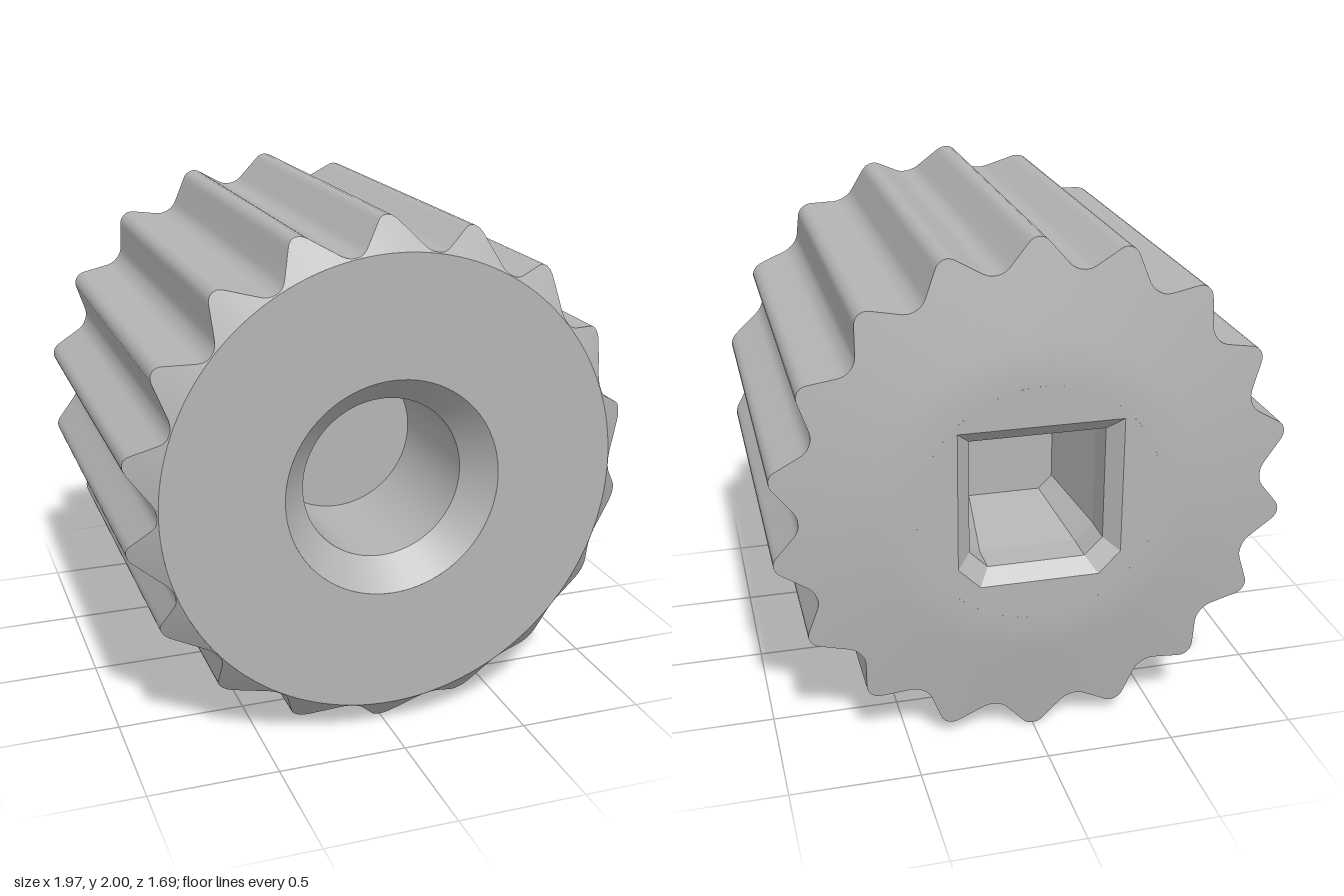
import * as THREE from 'three';

const FRONT = 0.845, BACK = -0.845, TEETH = 18, CY = 1;

// One closed loop of points, counter-clockwise seen from the front
const point = (a, r, z) => new THREE.Vector3(r * Math.cos(a), CY + r * Math.sin(a), z);

// Half tooth: degrees from the tip, radius
const half = [[0, 1], [1, 0.997], [1.8, 0.989], [2.5, 0.977], [4.8, 0.938], [7, 0.905], [8, 0.895], [9, 0.89], [10, 0.889]];
const outline = [];
for (let t = 0; t < TEETH; t++) {
  const tooth = [...half.slice(1).reverse().map(([d, r]) => [-d, r]), ...half.slice(0, -1)];
  for (const [d, r] of tooth) outline.push([THREE.MathUtils.degToRad(90 + t * 20 + d), r]);
}
const toothLoop = (radius, depth) => outline.map(([a, r]) => point(a, radius(r), depth(radius(r))));
const circle = (r, z, n = 96) => Array.from({ length: n }, (_, i) => point((i / n) * Math.PI * 2, r, z));

// Skin through loops, listed so that the solid lies on the inner side
function loft(loops, flat = false) {
  const n = loops[0].length, index = [];
  for (let k = 0; k < loops.length - 1; k++) {
    for (let i = 0; i < n; i++) {
      const j = (i + 1) % n, a = k * n, b = a + n;
      index.push(a + i, b + i, b + j, a + i, b + j, a + j);
    }
  }
  let g = new THREE.BufferGeometry().setFromPoints(loops.flat());
  g.setIndex(index);
  if (flat) g = g.toNonIndexed();
  g.computeVertexNormals();
  return g;
}

// Square with the two lower corners cut off
function squareLoop(h, cut, z) {
  return [[h, -h + cut], [h, h], [-h, h], [-h, -h + cut], [-h + cut, -h], [h - cut, -h]]
    .map(([x, y]) => new THREE.Vector3(x, CY + y, z));
}

export function createModel() {
  const model = new THREE.Group();
  const metal = new THREE.MeshStandardMaterial({ color: 0xb4b4b4 });
  metal.name = 'plain grey';
  const add = (name, geometry) => {
    const mesh = new THREE.Mesh(geometry, metal);
    mesh.name = name;
    model.add(mesh);
    return mesh;
  };

  // End surfaces as depth by radius: front cone and shallow back crown
  const frontZ = (r) => FRONT - Math.max(0, r - 0.885);
  const backZ = (r) => {
    const k = THREE.MathUtils.clamp((r - 0.47) / 0.16, 0, 1);
    return r < 0.63 ? BACK + 0.0133 * k * k : BACK + 0.0133 + (r - 0.63) * 0.1667;
  };
  const same = (r) => r;

  // Toothed body
  add('toothedWall', loft([toothLoop(same, frontZ), toothLoop(same, backZ)]));
  add('frontChamfer', loft([toothLoop(() => 0.885, frontZ), toothLoop(same, frontZ)]));
  add('backCrown', loft([toothLoop(same, backZ),
    ...[0.85, 0.74, 0.63, 0.59, 0.55, 0.51, 0.47].map((r) => toothLoop(() => r, backZ))]));

  // Front face and round blind bore with countersink
  add('frontFace', new THREE.RingGeometry(0.42, 0.885, 144)).position.set(0, CY, FRONT);
  add('countersink', loft([circle(0.315, FRONT - 0.12), circle(0.42, FRONT)]));
  add('bore', loft([circle(0.315, 0.2), circle(0.315, FRONT - 0.12)]));
  add('boreFloor', new THREE.CircleGeometry(0.315, 96)).position.set(0, CY, 0.2);

  // Flat back face around the square socket
  const mouth = squareLoop(0.315, 0.085, BACK);
  const face = new THREE.Shape().absarc(0, 0, 0.47, 0, Math.PI * 2);
  face.holes.push(new THREE.Path(mouth.map((p) => new THREE.Vector2(-p.x, p.y - CY))));
  const backFace = add('backFace', new THREE.ShapeGeometry(face, 72));
  backFace.rotation.y = Math.PI;
  backFace.position.set(0, CY, BACK);

  // Bevelled square socket
  add('socket', loft([mouth, squareLoop(0.26, 0.07, BACK + 0.055),
    squareLoop(0.26, 0.07, BACK + 0.18), squareLoop(0.2, 0.054, -0.3)], true));
  const floor = new THREE.Shape(squareLoop(0.2, 0.054, 0).map((p) => new THREE.Vector2(-p.x, p.y - CY)));
  const socketFloor = add('socketFloor', new THREE.ShapeGeometry(floor));
  socketFloor.rotation.y = Math.PI;
  socketFloor.position.set(0, CY, -0.3);

  return model;
}
